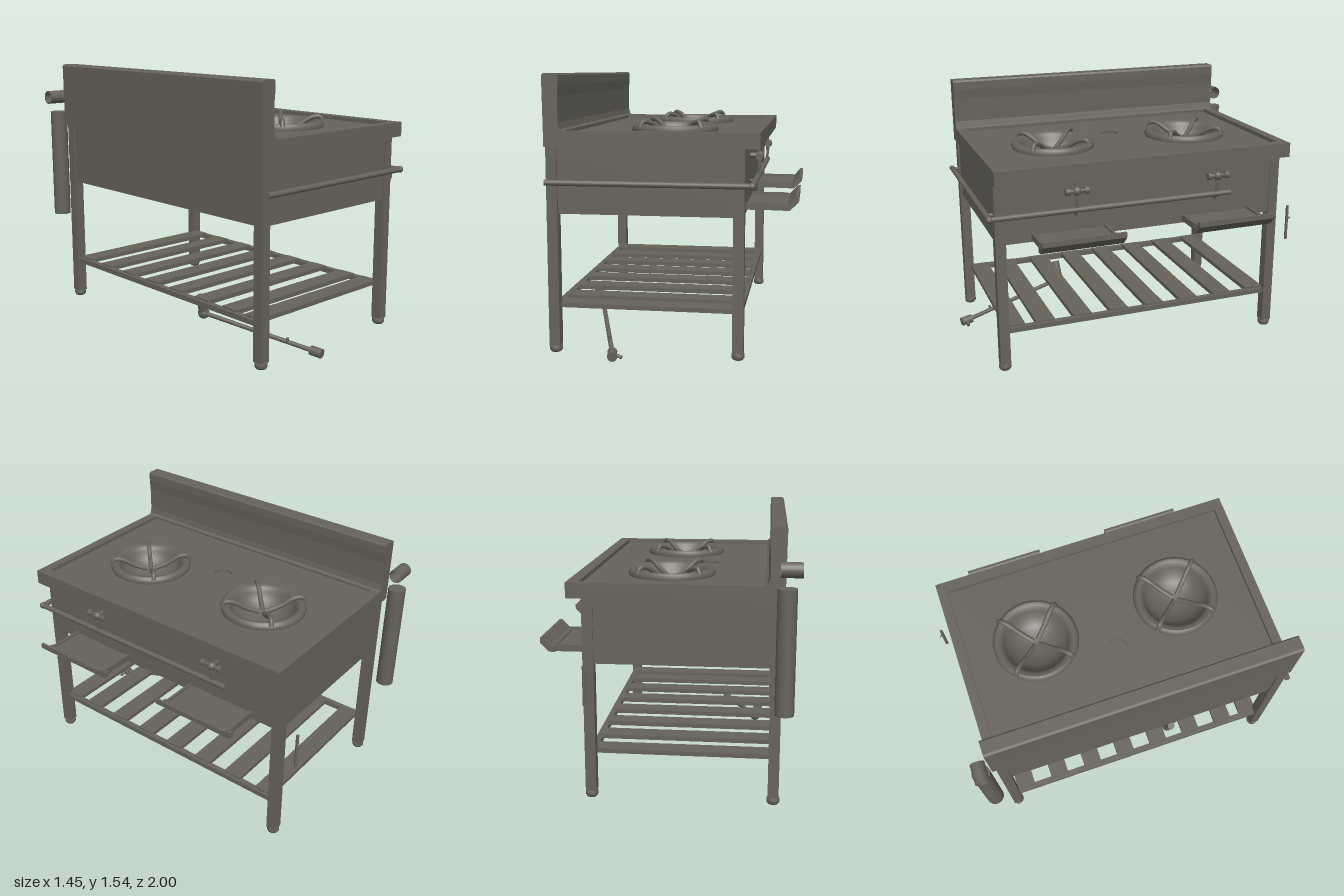
import * as THREE from 'three';
import { toCreasedNormals } from 'three/addons/utils/BufferGeometryUtils.js';

const steel = new THREE.MeshStandardMaterial({ color: 0x66635a, side: THREE.DoubleSide });
steel.name = 'steel';

export function createModel() {
  const model = new THREE.Group();
  model.name = 'wokRange';
  const V = (x, y, z) => new THREE.Vector3(x, y, z);

  const add = (name, geo, parent = model) => {
    const m = new THREE.Mesh(geo, steel);
    m.name = name;
    parent.add(m);
    return m;
  };
  const group = (name) => {
    const g = new THREE.Group();
    g.name = name;
    model.add(g);
    return g;
  };
  // Box given by its limits on each axis
  const box = (name, x0, x1, y0, y1, z0, z1, parent) =>
    add(name, new THREE.BoxGeometry(x1 - x0, y1 - y0, z1 - z0)
      .translate((x0 + x1) / 2, (y0 + y1) / 2, (z0 + z1) / 2), parent);
  // Straight round bar between two points, optionally tapered
  const bar = (name, a, b, r, parent, r2 = r, open = false) => {
    const m = add(name, new THREE.CylinderGeometry(r2, r, a.distanceTo(b), 20, 1, open), parent);
    m.position.copy(a).add(b).multiplyScalar(0.5);
    m.quaternion.setFromUnitVectors(V(0, 1, 0), b.clone().sub(a).normalize());
    return m;
  };
  const tube = (name, pts, r, parent) =>
    add(name, new THREE.TubeGeometry(new THREE.CatmullRomCurve3(pts, false, 'centripetal'), 32, r, 10), parent);
  const ball = (name, p, r, parent) =>
    add(name, new THREE.SphereGeometry(r, 16, 12).translate(p.x, p.y, p.z), parent);
  const rect = (P, x0, x1, z0, z1) => {
    const s = new P();
    s.moveTo(x0, -z0); s.lineTo(x1, -z0); s.lineTo(x1, -z1); s.lineTo(x0, -z1);
    s.closePath();
    return s;
  };
  const disc = (x, z, r) => new THREE.Path().absarc(x, -z, r, 0, Math.PI * 2, true);
  // Horizontal plate with holes
  const plate = (name, shape, holes, y0, y1) => {
    shape.holes.push(...holes);
    const g = new THREE.ExtrudeGeometry(shape, { depth: y1 - y0, bevelEnabled: false, curveSegments: 24 });
    return add(name, g.rotateX(-Math.PI / 2).translate(0, y0, 0));
  };
  // Profile in x and y, extruded along z
  const extrudeZ = (name, pts, z0, z1, parent) => {
    const s = new THREE.Shape(pts.map(([x, y]) => new THREE.Vector2(x, y)));
    return add(name, new THREE.ExtrudeGeometry(s, { depth: z1 - z0, bevelEnabled: false }).translate(0, 0, z0), parent);
  };

  // Worktop rim and recessed deck
  const burnerZ = [-0.43, 0.43];
  plate('worktopRim', rect(THREE.Shape, -0.64, 0.52, -0.89, 0.91),
    [rect(THREE.Path, -0.55, 0.455, -0.835, 0.855)], 1.15, 1.235);
  plate('deck', rect(THREE.Shape, -0.56, 0.46, -0.84, 0.86),
    [...burnerZ.map((z) => disc(0, z, 0.215)), disc(-0.19, 0.005, 0.055)], 1.15, 1.212);
  add('drainCup', new THREE.CylinderGeometry(0.055, 0.055, 0.01, 32).translate(-0.19, 1.195, 0.005));

  // Splashback with a small fillet at its foot
  extrudeZ('splashback', [[-0.64, 1.235], [-0.535, 1.235], [-0.55, 1.245], [-0.558, 1.28],
    [-0.558, 1.42], [-0.552, 1.48], [-0.552, 1.53], [-0.56, 1.54], [-0.632, 1.54], [-0.643, 1.53]], -0.89, 0.91);

  // Cabinet under the worktop
  plate('cabinetWalls', rect(THREE.Shape, -0.622, 0.437, -0.86, 0.892),
    [rect(THREE.Path, -0.6, 0.415, -0.84, 0.87)], 0.86, 1.15);
  box('cabinetBase', -0.618, 0.433, 0.785, 0.86, -0.856, 0.888);

  // Burners: rolled ring, bowl and crossed pan supports
  const profile = [[0.245, 1.205], [0.25, 1.225], [0.243, 1.243], [0.23, 1.252], [0.212, 1.25], [0.195, 1.238],
    [0.187, 1.215], [0.165, 1.175], [0.125, 1.138], [0.07, 1.116], [0, 1.11]].map(([x, y]) => new THREE.Vector2(x, y));
  for (const z of burnerZ) {
    const burner = group('burner');
    burner.position.z = z;
    add('burnerBowl', toCreasedNormals(new THREE.LatheGeometry(profile, 48), 0.7), burner);
    for (let i = 0; i < 4; i++) {
      const a = Math.PI / 4 + i * Math.PI / 2, c = Math.cos(a), s = Math.sin(a);
      const p = (r, y) => V(r * c, y, r * s);
      tube('panSupport', [p(0.02, 1.19), p(0.1, 1.22), p(0.18, 1.265), p(0.225, 1.268), p(0.245, 1.235)], 0.014, burner);
    }
  }

  // Legs and rounded feet
  const foot = [[0, 0.01], [0.028, 0.01], [0.036, 0.022], [0.036, 0.04], [0.028, 0.055], [0, 0.055]]
    .map(([x, y]) => new THREE.Vector2(x, y));
  for (const x of [-0.602, 0.411]) {
    for (const z of [-0.839, 0.872]) {
      box('leg', x - 0.03, x + 0.03, 0.045, 1.15, z - 0.03, z + 0.03);
      add('foot', new THREE.LatheGeometry(foot, 20)).position.set(x, 0, z);
    }
    box('shelfRail', x - 0.018, x + 0.018, 0.24, 0.27, -0.81, 0.845);
  }

  // Slatted shelf
  for (let i = 0; i < 8; i++) {
    const z = i < 7 ? 0.62 - i * 0.229 : 0.8;
    box('shelfSlat', -0.6, 0.41, 0.255, 0.28, z - 0.057, z + 0.057);
  }

  // Drip trays with raised sides and an upturned lip
  for (const z of [-0.45, 0.47]) {
    const tray = group('dripTray');
    tray.position.z = z;
    box('trayFloor', 0.43, 0.66, 0.8, 0.825, -0.215, 0.215, tray);
    for (const s of [-1, 1]) box('traySide', 0.43, 0.65, 0.8, 0.838, s * 0.215 - 0.008, s * 0.215 + 0.008, tray);
    extrudeZ('trayLip', [[0.635, 0.8], [0.67, 0.8], [0.72, 0.85], [0.72, 0.88], [0.705, 0.88], [0.66, 0.832], [0.635, 0.832]],
      -0.24, 0.24, tray);
  }

  // Gas taps on the working side
  for (const z of [-0.43, 0.44]) {
    const tap = group('gasTap');
    tap.position.z = z;
    bar('tapInlet', V(0.43, 1.075, 0), V(0.5, 1.075, 0), 0.016, tap);
    bar('tapStem', V(0.487, 1.03, 0), V(0.482, 1.13, 0), 0.011, tap);
    ball('tapBody', V(0.49, 1.073, 0), 0.026, tap);
    bar('tapHandle', V(0.49, 1.073, -0.06), V(0.49, 1.073, 0.06), 0.011, tap);
    for (const s of [-1, 1]) bar('tapKnob', V(0.49, 1.073, s * 0.042), V(0.49, 1.073, s * 0.068), 0.02, tap);
    tube('tapPipe', [V(0.49, 1.06, 0), V(0.485, 1, 0), V(0.475, 0.95, 0), V(0.46, 0.93, 0), V(0.43, 0.93, 0)], 0.009, tap);
  }

  // Gas pipe running round two sides
  bar('sidePipe', V(-0.63, 0.96, 0.937), V(0.482, 0.96, 0.937), 0.016);
  bar('frontPipe', V(0.482, 0.96, 0.937), V(0.482, 0.96, -0.52), 0.016);
  ball('pipeElbow', V(0.482, 0.96, 0.937), 0.02);
  for (const x of [-0.6, 0.4]) bar('pipeBracket', V(x, 0.96, 0.88), V(x, 0.96, 0.937), 0.01);

  // Flue cylinder and open outlet above it
  bar('flue', V(-0.648, 0.56, -0.948), V(-0.648, 1.235, -0.948), 0.052);
  bar('flueOutlet', V(-0.725, 1.33, -0.945), V(-0.61, 1.33, -0.945), 0.041, model, 0.041, true);
  bar('outletLining', V(-0.725, 1.33, -0.945), V(-0.61, 1.33, -0.945), 0.034, model, 0.034, true);
  const ring = add('outletEdge', new THREE.RingGeometry(0.034, 0.041, 24));
  ring.rotation.y = -Math.PI / 2;
  ring.position.set(-0.725, 1.33, -0.945);

  // Thin hanging rod at the back corner
  bar('hangingRod', V(0.415, 0.58, -0.963), V(0.415, 0.8, -0.963), 0.009);
  bar('rodPin', V(0.415, 0.72, -0.985), V(0.415, 0.72, -0.955), 0.006);

  // Waste pipe and its valve below the shelf
  const waste = group('wastePipe');
  const elbow = V(-0.48, 0.135, 0.275), end = V(-0.265, 0.035, 0.95);
  bar('downPipe', V(-0.515, 0.25, 0.285), elbow, 0.024, waste, 0.028);
  ball('wasteElbow', elbow, 0.034, waste);
  bar('wasteRun', elbow, end, 0.013, waste);
  bar('wasteValve', V(-0.27, 0.037, 0.93), V(-0.255, 0.03, 0.998), 0.027, waste);
  bar('valveLever', V(-0.265, 0.035, 0.955), V(-0.21, 0.02, 0.965), 0.01, waste);
  bar('valveStem', V(-0.32, 0.06, 0.8), V(-0.32, 0.085, 0.8), 0.008, waste);

  return model;
}
